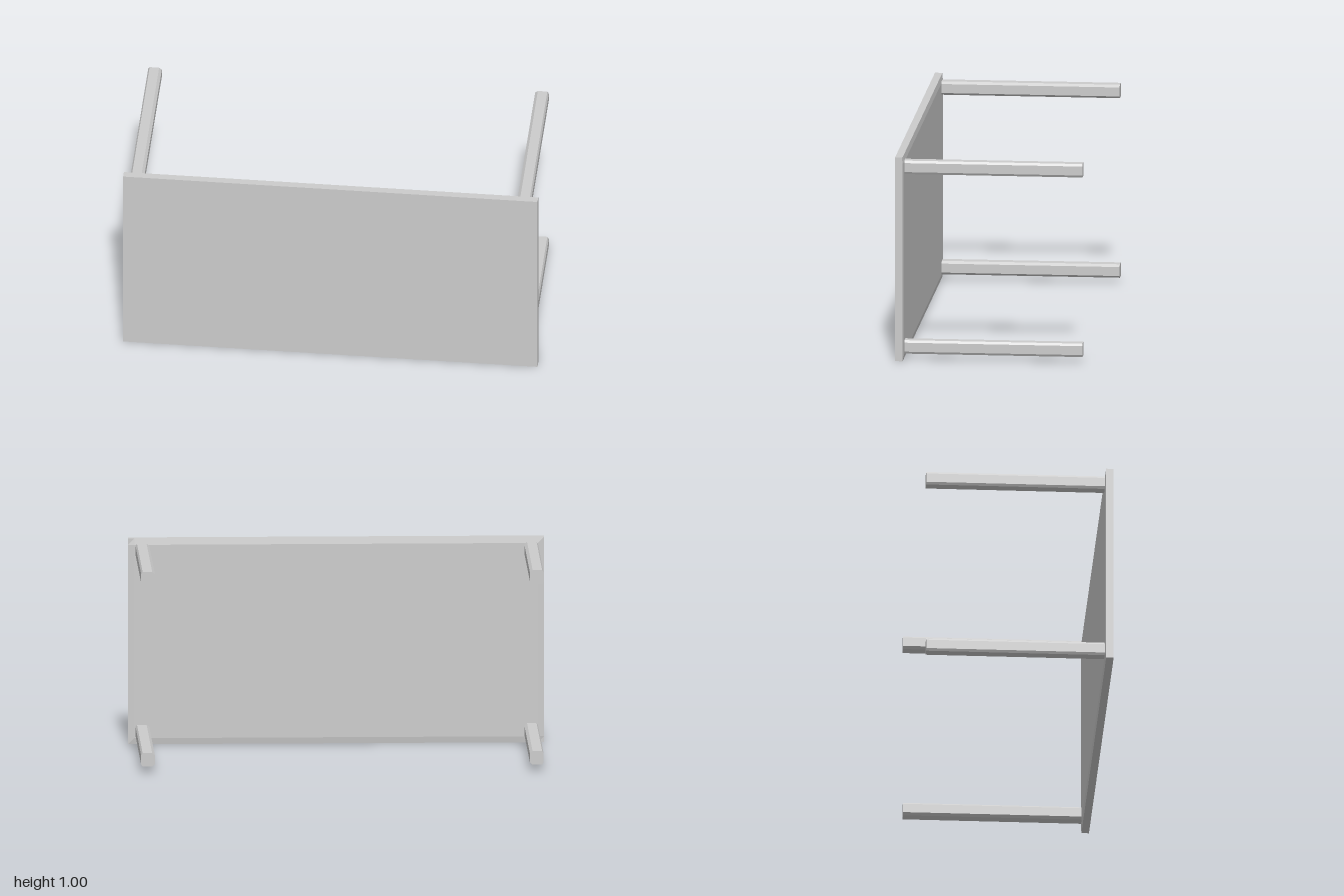
import * as THREE from 'three';

const material = new THREE.MeshStandardMaterial({ color: 0xcccccc, flatShading: true });

// Flat slab facing +z, its back face rising slightly inside the rim
function createTop() {
  const geometry = new THREE.BoxGeometry(2, 1, 0.036, 3, 3, 1);
  const p = geometry.attributes.position;
  for (let i = 0; i < p.count; i++) {
    const x = p.getX(i), y = p.getY(i);
    const innerX = Math.abs(x) < 0.9, innerY = Math.abs(y) < 0.45;
    if (innerX) p.setX(i, Math.sign(x) * 0.97);
    if (innerY) p.setY(i, Math.sign(y) * 0.47);
    if (innerX && innerY && p.getZ(i) < 0) p.setZ(i, -0.023);
  }
  geometry.computeVertexNormals();
  const mesh = new THREE.Mesh(geometry, material);
  mesh.name = 'tableTop';
  mesh.position.set(0, 0.5, 0.432);
  return mesh;
}

// Square leg section with cut corners, wider cuts on the inner side
function createLegGeometry(side) {
  const h = 0.033, inner = 0.013, outer = 0.007, cut = 0.011;
  const points = [
    [h, -h + cut], [h, h - cut], [h - outer, h], [-h + inner, h],
    [-h, h - cut], [-h, -h + cut], [-h + inner, -h], [h - outer, -h],
  ].map(([x, y]) => new THREE.Vector2(x * side, y));
  return new THREE.ExtrudeGeometry(new THREE.Shape(points), { depth: 0.87, bevelEnabled: false });
}

export function createModel() {
  const table = new THREE.Group();
  table.name = 'table';
  table.add(createTop());

  // Four legs reaching backwards from the corners
  for (const side of [-1, 1]) {
    const geometry = createLegGeometry(side);
    for (const [level, y] of [['lower', 0.062], ['upper', 0.943]]) {
      const leg = new THREE.Mesh(geometry, material);
      leg.name = level + (side > 0 ? 'LeftLeg' : 'RightLeg');
      leg.position.set(side > 0 ? 0.931 : -0.937, y, -0.45);
      table.add(leg);
    }
  }
  return table;
}
